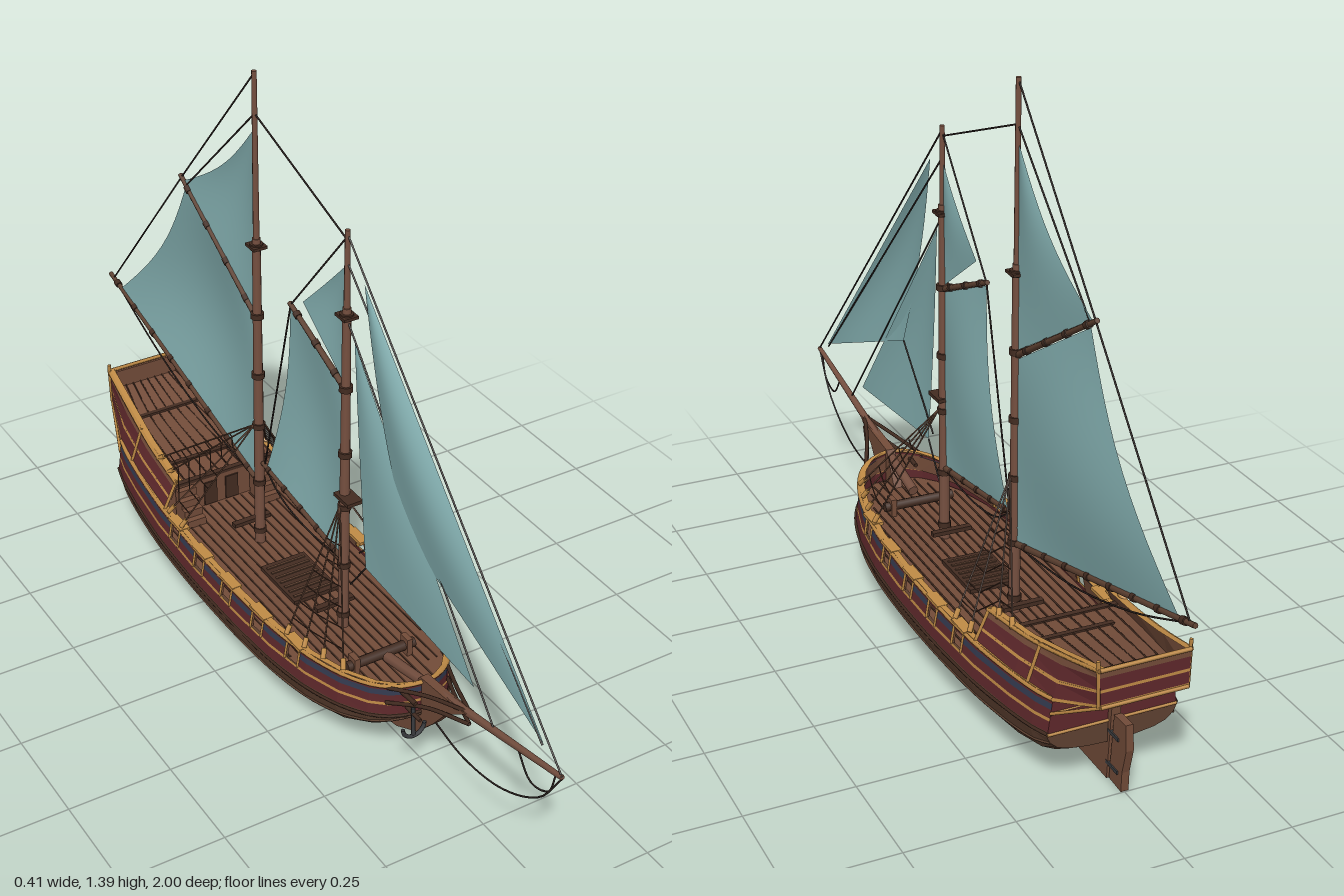
import * as THREE from 'three';

const paint = (name, color) => new THREE.MeshStandardMaterial({ name, color, side: THREE.DoubleSide });
const M = {
  hull: paint('hull wood', 0x5e4131), wood: paint('deck wood', 0x734c39), mast: paint('mast wood', 0x765040),
  dark: paint('dark wood', 0x432c21), red: paint('dark red', 0x5e282b), navy: paint('navy', 0x343b50),
  gold: paint('gold trim', 0xc08b46), sail: paint('teal sailcloth', 0x86b2b3), rope: paint('rope', 0x2c2320),
  iron: paint('iron', 0x3b3d40),
};
const V = (x, y, z) => new THREE.Vector3(x, y, z);

// hull stations: z, greatest half width, sheer height, bottom height
const STATIONS = [
  [0.515, 0.006, 0.243, 0.155], [0.505, 0.045, 0.24, 0.145], [0.485, 0.08, 0.236, 0.126], [0.45, 0.112, 0.231, 0.1],
  [0.38, 0.148, 0.225, 0.066], [0.28, 0.176, 0.219, 0.043], [0.15, 0.193, 0.215, 0.031], [0, 0.2, 0.213, 0.026],
  [-0.2, 0.2, 0.213, 0.026], [-0.4, 0.192, 0.217, 0.031], [-0.55, 0.178, 0.226, 0.043], [-0.64, 0.165, 0.233, 0.065],
  [-0.69, 0.152, 0.238, 0.1]];
const BILGE = [[0, 0], [0.36, 0.05], [0.65, 0.17], [0.84, 0.37], [0.95, 0.68], [1, 1]];
const PORTS = [0.23, 0.09, -0.05, -0.185, -0.315], PORT = 0.02, DECK = 0.164;
const ZS = [...STATIONS.map(s => s[0]), ...PORTS.flatMap(p => [p + PORT, p - PORT])].sort((a, b) => b - a);
// castle sections: z, bottom x, bottom y, top x, top y
const CASTLE = [[-0.38, 0.176, 0.213, 0.142, 0.286], [-0.55, 0.163, 0.224, 0.13, 0.305],
  [-0.69, 0.142, 0.232, 0.116, 0.333], [-0.82, 0.1, 0.28, 0.104, 0.366]];

function table(rows, z) {
  let i = 0;
  while (i < rows.length - 2 && z < rows[i + 1][0]) i++;
  const t = (rows[i][0] - z) / (rows[i][0] - rows[i + 1][0]);
  return rows[i].map((a, k) => a + (rows[i + 1][k] - a) * t);
}
const sheer = (z, d, side = 1, inset = 0) => { // point d below the sheer line
  const [, w, top] = table(STATIONS, z);
  return V(side * Math.max(w * (0.92 + 0.08 * d / 0.09) - inset, 0.001), top - d, z);
};
const bilge = (z, k, side) => {
  const [, w, top, low] = table(STATIONS, z);
  return V(side * w * BILGE[k][0], low + (top - 0.09 - low) * BILGE[k][1], z);
};
const castle = (z, f, side, inset = 0) => {
  const [, bx, by, tx, ty] = table(CASTLE, z);
  return V(side * (bx + (tx - bx) * f - inset), by + (ty - by) * f, z);
};

export function createModel() {
  const model = new THREE.Group();
  model.name = 'sailingShip';
  function add(name, geo, mat, pos) {
    const m = new THREE.Mesh(geo, mat);
    m.name = name;
    if (pos) m.position.set(...pos);
    model.add(m);
    return m;
  }
  const box = (name, mat, size, pos) => add(name, new THREE.BoxGeometry(...size), mat, pos);
  // faceted strip between two rows of points
  function strip(name, mat, a, b, skip = () => false) {
    const pos = [];
    for (let i = 0; i < a.length - 1; i++) {
      if (skip((a[i].z + a[i + 1].z) / 2)) continue;
      for (const p of [a[i], b[i], a[i + 1], b[i], b[i + 1], a[i + 1]]) pos.push(p.x, p.y, p.z);
    }
    const g = new THREE.BufferGeometry();
    g.setAttribute('position', new THREE.Float32BufferAttribute(pos, 3));
    g.computeVertexNormals();
    return add(name, g, mat);
  }
  function rod(name, mat, a, b, r0 = 0.0022, r1 = r0, n = 5) {
    const m = add(name, new THREE.CylinderGeometry(r1, r0, a.distanceTo(b), n), mat);
    m.position.copy(a).lerp(b, 0.5);
    m.quaternion.setFromUnitVectors(V(0, 1, 0), b.clone().sub(a).normalize());
    return m;
  }
  const line = (a, b) => rod('rigging', M.rope, V(0, a[1], a[0]), V(0, b[1], b[0]));
  const tube = (name, mat, pts, r) =>
    add(name, new THREE.TubeGeometry(new THREE.CatmullRomCurve3(pts), pts.length * 4, r, 5), mat);
  // side profile in (z, y) given a thickness across x
  function plate(name, mat, pts, t) {
    const g = new THREE.ExtrudeGeometry(new THREE.Shape(pts.map(p => new THREE.Vector2(...p))), { depth: t, bevelEnabled: false });
    return add(name, g.translate(0, 0, -t / 2).rotateY(-Math.PI / 2), mat);
  }

  // hull planking, painted bands, gun ports and rails
  const inPort = z => PORTS.some(p => Math.abs(z - p) < PORT);
  const bands = [[0, 0.012, 'red'], [0.012, 0.026, 'navy', 1], [0.026, 0.046, 'red', 1], [0.046, 0.053, 'gold'],
    [0.053, 0.078, 'red'], [0.078, 0.09, 'hull']];
  const castleBands = [[0, 0.08, 'gold'], [0.08, 0.4, 'red'], [0.4, 0.48, 'gold'], [0.48, 0.8, 'red'], [0.8, 1, 'wood']];
  const cz = CASTLE.map(c => c[0]);
  for (const s of [1, -1]) {
    for (let k = 0; k < 5; k++)
      strip('hullPlanks', M.hull, ZS.map(z => bilge(z, k, s)), ZS.map(z => bilge(z, k + 1, s)));
    for (const [a, b, c, gap] of bands)
      strip('hullBand', M[c], ZS.map(z => sheer(z, a, s)), ZS.map(z => sheer(z, b, s)), gap ? inPort : undefined);
    strip('bulwarkLining', M.wood, ZS.map(z => sheer(z, 0.01, s, 0.006)), ZS.map(z => sheer(z, 0.05, s, 0.006)), inPort);
    strip('railCap', M.gold, ZS.map(z => sheer(z, -0.004, s)), ZS.map(z => sheer(z, -0.004, s, 0.014)));
    tube('sheerRail', M.gold, STATIONS.map(r => sheer(r[0], 0.001, s)), 0.005);
    tube('wale', M.dark, STATIONS.map(r => sheer(r[0], 0.083, s)), 0.004);
    tube('lowerWale', M.hull, STATIONS.map(r => bilge(r[0], 4, s)), 0.003);
    for (const p of PORTS) {
      for (const e of [-1, 1]) {
        const z = p + e * (PORT + 0.003);
        rod('portFrame', M.gold, sheer(z, 0.05, s), sheer(z, 0.004, s), 0.0035, 0.0035, 4);
      }
      const c = sheer(p, 0, s);
      box('portCap', M.gold, [0.026, 0.008, 0.065], [c.x - s * 0.008, c.y + 0.001, p]);
    }
    // raised stern sides
    for (const [a, b, c] of castleBands)
      strip('castleSide', M[c], cz.map(z => castle(z, a, s)), cz.map(z => castle(z, b, s)));
    strip('castleLining', M.wood, cz.map(z => castle(z, 0.4, s, 0.005)), cz.map(z => castle(z, 0.98, s, 0.005)));
    strip('castleCap', M.gold, cz.map(z => castle(z, 1.05, s)), cz.map(z => castle(z, 1.05, s, 0.014)));
    tube('castleRail', M.gold, cz.map(z => castle(z, 1, s)), 0.005);
    for (const [z, f] of [[-0.385, 1.08], [-0.6, 1.05], [-0.815, 1.25]])
      rod('castlePost', M.gold, castle(z, 0, s), castle(z, f, s), 0.005, 0.005, 4);
    rod('counterTrim', M.gold, sheer(-0.69, 0.035, s), castle(-0.82, 0, s), 0.004);
    // head rails at the bow
    for (const [y, d] of [[0.272, 0.005], [0.24, 0.045]])
      tube('headRail', M.dark, [sheer(0.48, d, s), V(s * 0.036, y - 0.016, 0.575), V(0, y, 0.68)], 0.005);
  }

  // stern closing, counter and taffrail
  const stern = k => [bilge(-0.69, k, 1), bilge(-0.69, k, -1)];
  for (let k = 0; k < 5; k++) strip('sternPlanks', M.hull, stern(k), stern(k + 1));
  const across = d => [sheer(-0.69, d, 1), sheer(-0.69, d, -1)];
  strip('sternBand', M.red, across(0.09), across(0));
  strip('counter', M.red, across(0.035), [castle(-0.82, 0, 1), castle(-0.82, 0, -1)]);
  for (const d of [0.035, 0.085]) rod('sternRail', M.gold, ...across(d), 0.004);
  const aft = f => [castle(-0.82, f, 1), castle(-0.82, f, -1)];
  for (const [a, b, c] of castleBands) strip('transom', M[c], aft(a), aft(b));
  for (const f of [0, 1]) rod('transomRail', M.gold, ...aft(f), 0.005);
  box('taffrailLining', M.wood, [0.192, 0.06, 0.006], [0, 0.333, -0.812]);

  // decks with seams
  const dz = ZS.filter(z => z < 0.51);
  const edge = (z, s) => sheer(z, 0, s).setY(DECK);
  strip('mainDeck', M.wood, dz.map(z => edge(z, 1)), dz.map(z => edge(z, -1)));
  for (let x = -0.165; x < 0.17; x += 0.022) {
    const fore = dz.find(z => edge(z, 1).x > Math.abs(x) + 0.005);
    box('deckSeam', M.dark, [0.004, 0.002, fore + 0.41], [x, DECK + 0.001, (fore - 0.41) / 2]);
  }
  const qz = [-0.42, -0.55, -0.69, -0.815];
  strip('quarterDeck', M.wood, qz.map(z => castle(z, 0.45, 1)), qz.map(z => castle(z, 0.45, -1)));
  for (let i = -4; i <= 4; i++)
    tube('quarterDeckSeam', M.dark, qz.map(z => { const p = castle(z, 0.45, 1); return V(i * p.x / 5, p.y + 0.001, z); }), 0.002);
  box('bulkhead', M.wood, [0.3, 0.083, 0.008], [0, 0.206, -0.42]);
  box('bulkheadBeam', M.dark, [0.3, 0.008, 0.014], [0, 0.25, -0.42]);
  for (const s of [-1, 1]) {
    box('cabinDoor', M.dark, [0.035, 0.065, 0.004], [s * 0.03, 0.2, -0.414]);
    for (let i = 0; i < 4; i++)
      box('stairStep', M.wood, [0.05, 0.02 * (i + 1), 0.016], [s * 0.105, DECK + 0.01 * (i + 1), -0.355 - i * 0.016]);
  }
  for (const z of [-0.5, -0.7]) box('quarterBeam', M.dark, [0.2, 0.006, 0.012], [0, castle(z, 0.45, 1).y + 0.002, z]);

  // hatch, windlass and deck fittings
  box('hatchCoaming', M.dark, [0.12, 0.01, 0.16], [0, DECK + 0.005, -0.03]);
  for (let i = -3; i <= 3; i++) box('hatchGrating', M.hull, [0.104, 0.003, 0.006], [0, DECK + 0.011, -0.03 + i * 0.021]);
  rod('windlass', M.dark, V(-0.09, 0.187, 0.33), V(0.09, 0.187, 0.33), 0.012, 0.012, 8);
  for (const s of [-1, 1]) box('windlassPost', M.wood, [0.014, 0.045, 0.03], [s * 0.07, 0.187, 0.33]);
  for (const z of [0.13, -0.26]) box('pinRail', M.dark, [0.1, 0.01, 0.016], [0, 0.2, z]);

  // keel, stem and rudder
  plate('keelAndStem', M.wood, [[0.68, 0.272], [0.61, 0.22], [0.56, 0.155], [0.5, 0.09], [0.42, 0.047], [0.3, 0.022],
    [0.1, 0.01], [-0.69, 0.01], [-0.705, 0.19], [-0.67, 0.19], [-0.63, 0.07], [0.1, 0.05], [0.38, 0.085],
    [0.45, 0.15], [0.505, 0.25], [0.6, 0.26]], 0.022);
  plate('rudder', M.wood, [[-0.712, 0.178], [-0.697, 0.015], [-0.75, 0.012], [-0.752, 0.06], [-0.767, 0.12], [-0.762, 0.18]], 0.018);
  for (const y of [0.05, 0.13]) box('rudderHinge', M.iron, [0.024, 0.008, 0.05], [0, y, -0.71]);

  // masts and bowsprit
  for (const [z, join, top] of [[0.17, 0.81, 1.195], [-0.217, 0.8, 1.405]]) {
    rod('lowerMast', M.mast, V(0, DECK, z), V(0, join + 0.2, z), 0.0135, 0.01, 10);
    rod('topMast', M.mast, V(0, join + 0.15, z), V(0, top, z), 0.008, 0.006, 8);
    for (const y of [0.2, 0.34, 0.5, 0.64, join, join + 0.18])
      rod('mastBand', M.dark, V(0, y - 0.007, z), V(0, y + 0.007, z), 0.016, 0.016, 10);
    box('crosstree', M.dark, [0.036, 0.007, 0.04], [0, join + 0.18, z]);
  }
  box('foreTop', M.dark, [0.04, 0.009, 0.06], [0, 0.53, 0.185]);
  rod('bowsprit', M.mast, V(0, 0.2, 0.36), V(0, 0.338, 1), 0.013, 0.006, 8);

  // booms and gaffs
  for (const [a, b, n] of [[[-0.217, 0.335], [-1, 0.54], 8], [[-0.217, 0.79], [-0.58, 1.005], 4],
    [[0.17, 0.35], [-0.2, 0.402], 5], [[0.17, 0.805], [-0.07, 0.905], 3]]) {
    const p = V(0, a[1], a[0]), q = V(0, b[1], b[0]);
    rod('spar', M.hull, p, q, 0.008, 0.006, 8);
    for (let i = 1; i <= n; i++)
      rod('sparBand', M.dark, p.clone().lerp(q, (i - 0.5) / n), p.clone().lerp(q, (i - 0.35) / n), 0.0092, 0.0092, 8);
  }

  // sails: four corners in (z, y), a belly across x, a hollow in the free edge
  function sail(name, a, b, c, d, belly, hollow = [0, 0]) {
    const N = 12, pos = [], idx = [];
    for (let j = 0; j <= N; j++) for (let i = 0; i <= N; i++) {
      const u = i / N, v = Math.min(j / N, 0.998), bow = Math.sin(Math.PI * v) * u * u;
      const at = k => (a[k] * (1 - u) + b[k] * u) * (1 - v) + (d[k] * (1 - u) + c[k] * u) * v + hollow[k] * bow;
      pos.push(belly * Math.sin(Math.PI * v) * Math.sin(Math.PI * u * 0.85), at(1), at(0));
      if (i < N && j < N) {
        const p = j * (N + 1) + i, q = p + N + 1;
        idx.push(p, q, p + 1, p + 1, q, q + 1);
      }
    }
    const g = new THREE.BufferGeometry();
    g.setAttribute('position', new THREE.Float32BufferAttribute(pos, 3));
    g.setIndex(idx);
    g.computeVertexNormals();
    add(name, g, M.sail);
  }
  sail('mainSail', [-0.225, 0.34], [-0.935, 0.528], [-0.555, 0.982], [-0.225, 0.785], 0.03, [0.022, -0.012]);
  sail('mainTopsail', [-0.225, 0.805], [-0.56, 0.998], [-0.222, 1.265], [-0.222, 1.265], 0.012, [0.012, -0.018]);
  sail('foreSail', [0.165, 0.355], [-0.18, 0.4], [-0.066, 0.897], [0.165, 0.805], 0.022, [0.014, 0]);
  sail('foreTopsail', [0.165, 0.815], [-0.012, 0.935], [0.165, 1.108], [0.165, 1.108], 0.008);
  sail('innerJib', [0.69, 0.348], [0.262, 0.385], [0.203, 0.94], [0.203, 0.94], -0.014, [0.008, 0]);
  sail('outerJib', [0.935, 0.375], [0.41, 0.585], [0.238, 1.098], [0.238, 1.098], -0.022);

  // stays, halyards and sheets
  for (const [a, b] of [[[0.17, 1.185], [1, 0.338]], [[0.17, 0.985], [0.77, 0.288]], [[0.17, 1.17], [-0.217, 1.305]],
    [[-0.217, 1.4], [-0.575, 1.0]], [[-0.217, 1.305], [-0.55, 0.99]], [[-0.575, 1.0], [-0.98, 0.537]],
    [[0.17, 1.18], [-0.065, 0.902]], [[-0.065, 0.902], [-0.19, 0.4]], [[0.41, 0.585], [0.235, 0.41]],
    [[0.262, 0.385], [0.2, 0.3]], [[0.17, 1.12], [0.93, 0.37]]]) line(a, b);
  const slack = pts => tube('slackRope', M.rope, pts.map(p => V(0, p[1], p[0])), 0.0022);
  slack([[1, 0.335], [0.93, 0.23], [0.8, 0.155], [0.66, 0.135], [0.55, 0.155]]);
  slack([[0.98, 0.33], [0.96, 0.27], [0.9, 0.25], [0.85, 0.305]]);
  slack([[-0.24, 0.335], [-0.5, 0.37], [-0.75, 0.44], [-0.98, 0.535]]);
  slack([[0.16, 0.345], [0, 0.335], [-0.12, 0.355], [-0.19, 0.398]]);

  // shrouds with ratlines and deadeyes
  for (const s of [1, -1]) for (const [mz, feet] of [[0.17, [0.2, 0.265, 0.325, 0.385]], [-0.217, [-0.29, -0.36, -0.43, -0.49]]]) {
    const head = V(s * 0.012, 0.505, mz);
    const ends = feet.map(z => z < -0.39 ? castle(z, 0.95, s) : sheer(z, -0.01, s));
    for (const e of ends) {
      rod('shroud', M.hull, e, head, 0.002);
      rod('deadeye', M.gold, e, e.clone().lerp(head, 0.07), 0.006, 0.006, 6);
    }
    for (let k = 1; k <= 6; k++)
      for (let i = 0; i < 3; i++)
        rod('ratline', M.dark, ends[i].clone().lerp(head, k / 8), ends[i + 1].clone().lerp(head, k / 8), 0.0015);
  }

  // anchor
  rod('anchorShank', M.iron, V(-0.05, 0.13, 0.545), V(-0.05, 0.205, 0.54), 0.005);
  rod('anchorStock', M.dark, V(-0.05, 0.19, 0.515), V(-0.05, 0.19, 0.57), 0.005);
  add('anchorArms', new THREE.TorusGeometry(0.028, 0.005, 6, 12, Math.PI), M.iron, [-0.05, 0.157, 0.545]).rotation.z = Math.PI;
  rod('catHead', M.dark, V(-0.05, 0.215, 0.46), V(-0.05, 0.222, 0.55), 0.006);
  return model;
}
